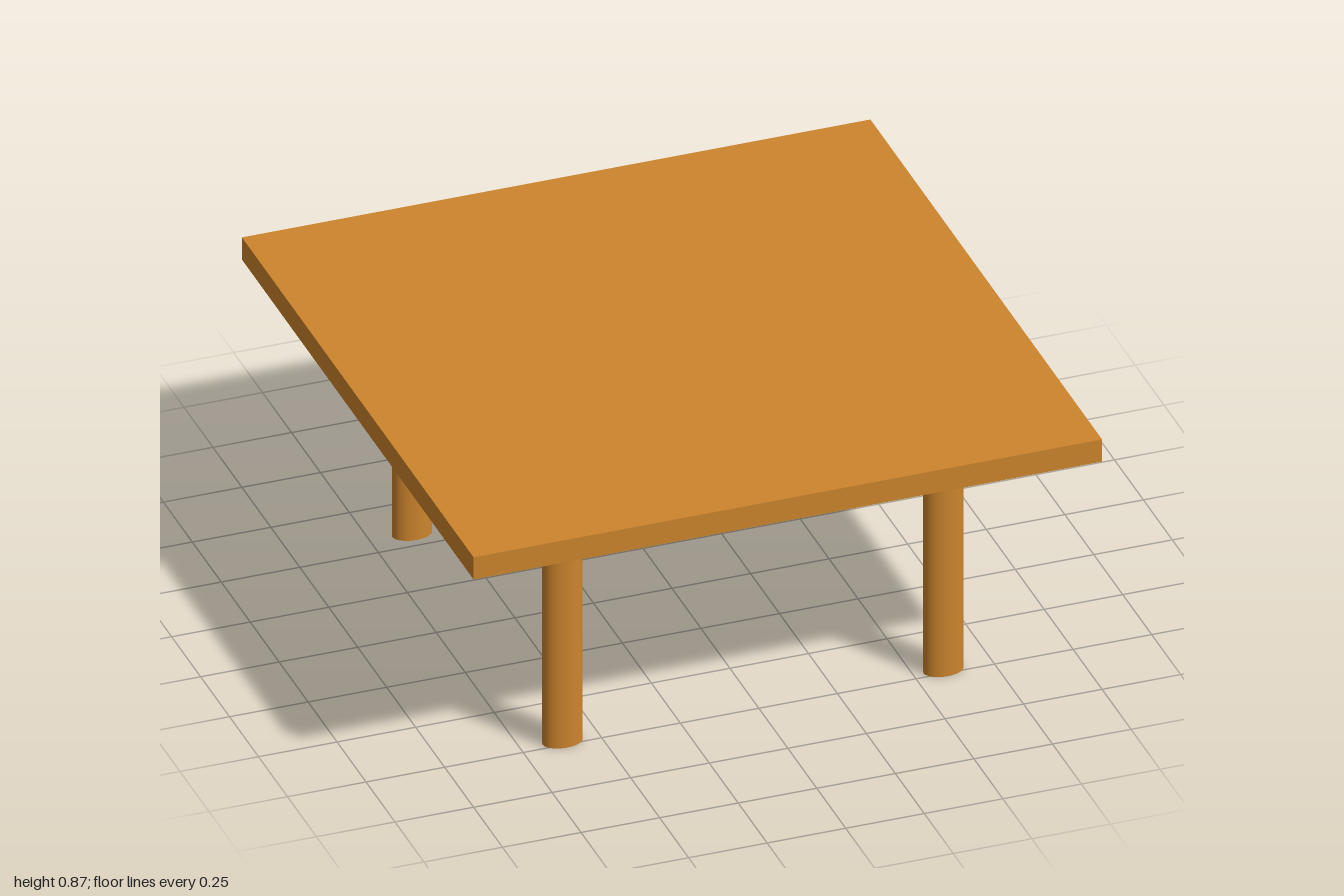
import * as THREE from 'three';

export function createModel() {
  const model = new THREE.Group();
  model.name = 'table';
  const wood = new THREE.MeshStandardMaterial({ color: 0xcd852d });
  wood.name = 'warm wood';

  const legHeight = 0.79;
  const topThickness = 0.077;

  // Square slab top
  const top = new THREE.Mesh(new THREE.BoxGeometry(2, topThickness, 2), wood);
  top.name = 'tableTop';
  top.position.y = legHeight + topThickness / 2;
  model.add(top);

  // Four oval legs, wider from side to side than front to back
  const legGeometry = new THREE.CylinderGeometry(1, 1, legHeight, 32);
  legGeometry.scale(0.0625, 1, 0.0415);
  for (const [xName, x] of [['Right', -0.617], ['Left', 0.595]]) {
    for (const [zName, z] of [['front', 0.727], ['back', -0.571]]) {
      const leg = new THREE.Mesh(legGeometry, wood);
      leg.name = `${zName}${xName}Leg`;
      leg.position.set(x, legHeight / 2, z);
      model.add(leg);
    }
  }
  return model;
}
